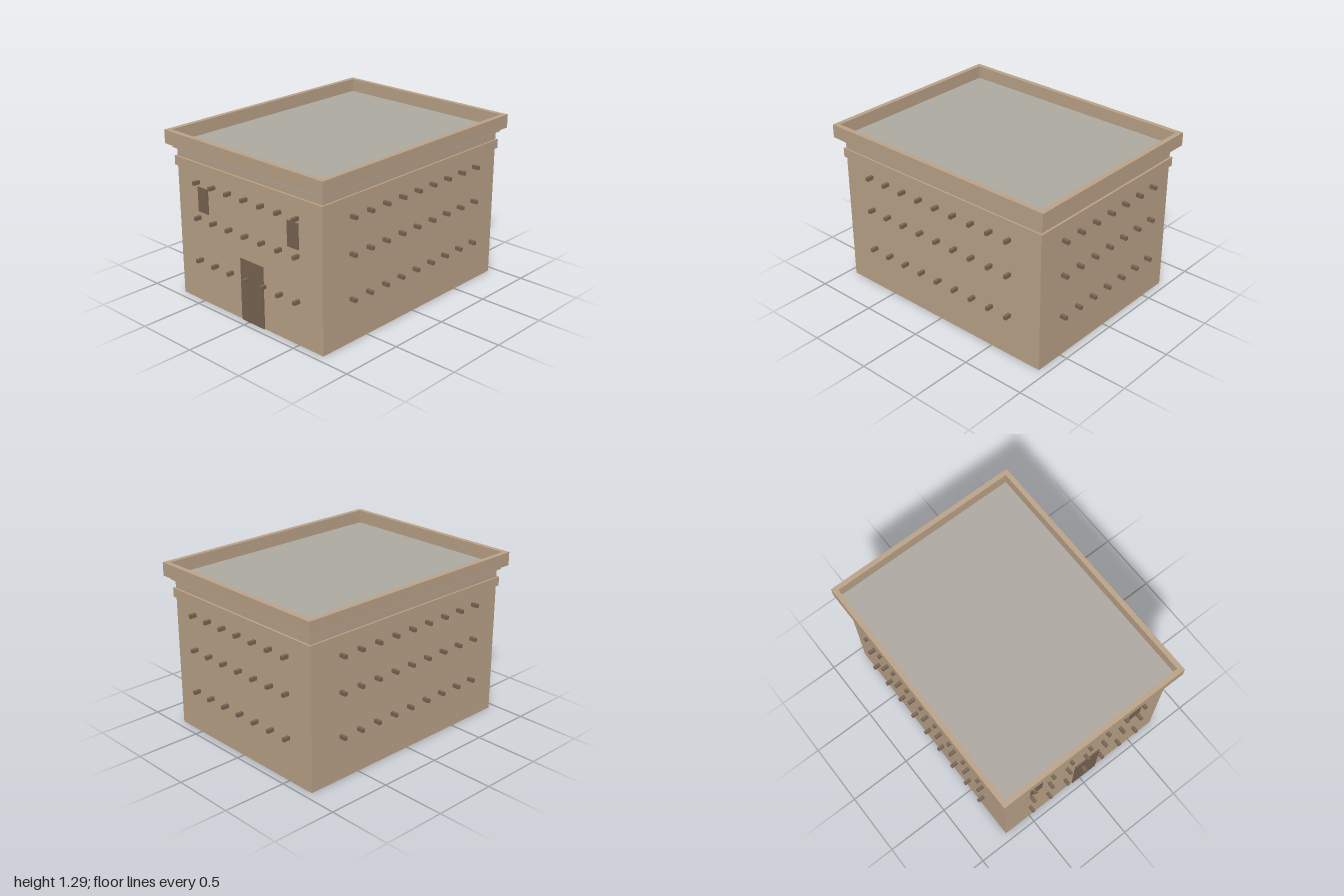
import * as THREE from 'three';

export function createModel() {
  const group = new THREE.Group();
  const mat = (name, color) => {
    const m = new THREE.MeshStandardMaterial({ color });
    m.name = name;
    return m;
  };
  const plaster = mat('plaster', 0xbca489);
  const wood = mat('darkWood', 0x796554);
  const slate = mat('greyRoof', 0xafaba3);

  // Box given by its centre in x and z, its base height and its size
  const box = (name, material, w, h, d, x, y, z, parent = group) => {
    const mesh = new THREE.Mesh(new THREE.BoxGeometry(w, h, d), material);
    mesh.name = name;
    mesh.position.set(x, y + h / 2, z);
    parent.add(mesh);
    return mesh;
  };

  // Main block, string course and roof slab
  box('walls', plaster, 1.46, 1.157, 1.88, 0, 0, 0);
  box('corniceBand', plaster, 1.486, 0.07, 1.912, 0, 1.025, 0);
  box('roofSlab', slate, 1.505, 0.031, 1.925, 0, 1.157, 0);

  // Parapet: a rectangular ring around the sunken roof
  const rect = (T, x, z) => new T([[-x, -z], [x, -z], [x, z], [-x, z]].map(p => new THREE.Vector2(...p)));
  const ring = rect(THREE.Shape, 0.79, 1);
  ring.holes.push(rect(THREE.Path, 0.752, 0.962));
  const parapetGeometry = new THREE.ExtrudeGeometry(ring, { depth: 0.103, bevelEnabled: false });
  parapetGeometry.rotateX(-Math.PI / 2);
  const parapet = new THREE.Mesh(parapetGeometry, plaster);
  parapet.name = 'parapet';
  parapet.position.y = 1.187;
  group.add(parapet);

  // Door and windows, set on the front wall
  box('door', wood, 0.23, 0.483, 0.009, 0.04, 0, 0.944);
  for (const s of [-1, 1]) box('window', wood, 0.105, 0.19, 0.009, s * 0.457, 0.72, 0.944);

  // Three rows of projecting beam ends on all four walls
  const beams = new THREE.Group();
  beams.name = 'beamEnds';
  group.add(beams);
  for (const y of [0.325, 0.66, 0.932]) {
    for (const s of [-1, 1]) {
      for (let i = -3; i <= 3; i++) box('beamEnd', wood, 0.024, 0.028, 0.07, i * 0.1675, y, s * 0.958, beams);
      for (let i = -4; i <= 4; i++) box('beamEnd', wood, 0.07, 0.028, 0.024, s * 0.75, y, i * 0.1675, beams);
    }
  }
  return group;
}
